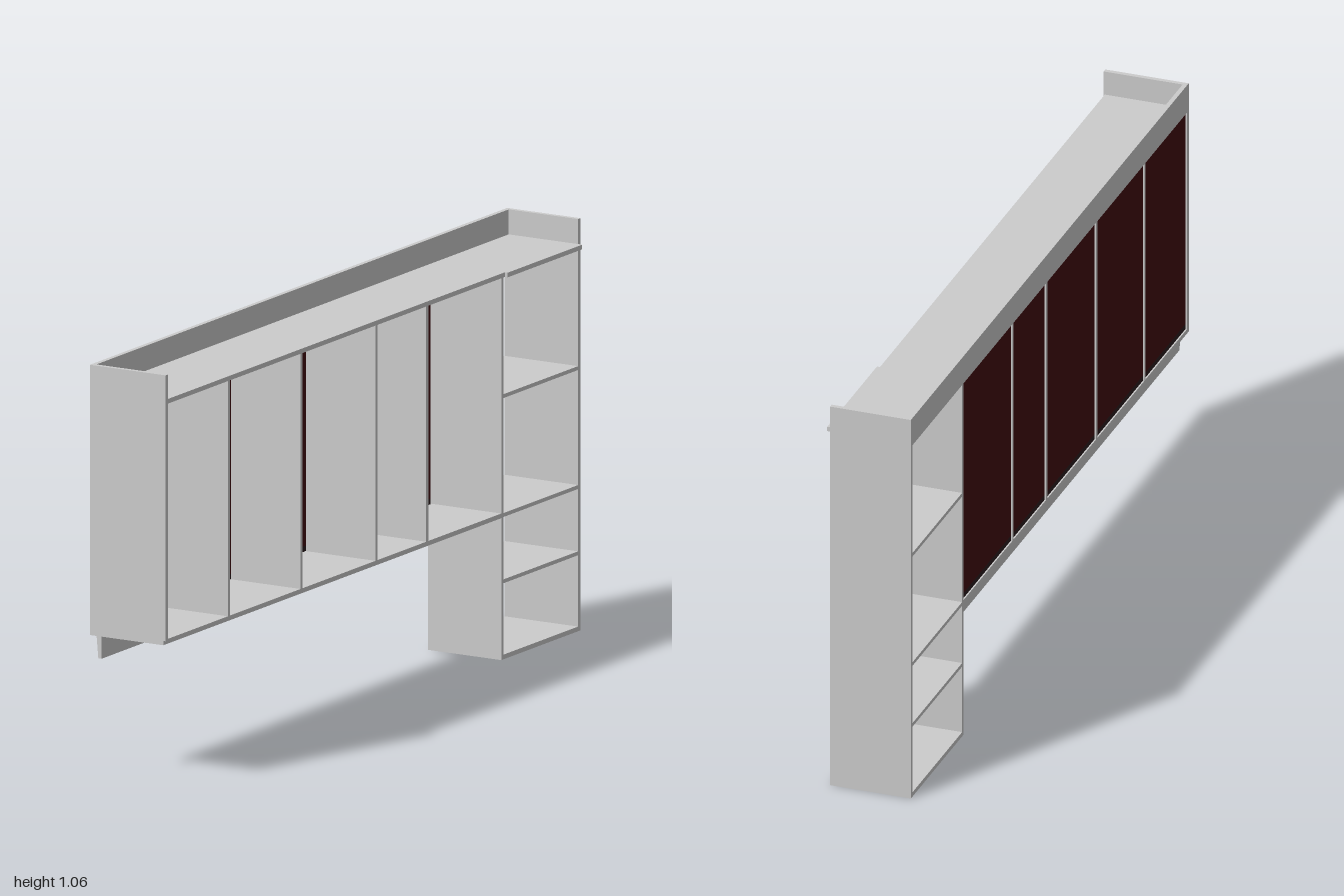
import * as THREE from 'three';

const grey = new THREE.MeshStandardMaterial({ color: 0xcccccc });
const red = new THREE.MeshStandardMaterial({ color: 0x420b0e });
const dark = new THREE.MeshStandardMaterial({ color: 0x2a1c1e });

const BACK = -0.115, FRONT = 0.1, T = 0.012;

export function createModel() {
  const model = new THREE.Group();
  model.name = 'shelfUnit';

  // Board given by its limits on each axis
  const board = (name, [x0, x1], [y0, y1], [z0, z1], material = grey) => {
    const mesh = new THREE.Mesh(new THREE.BoxGeometry(x1 - x0, y1 - y0, z1 - z0), material);
    mesh.position.set((x0 + x1) / 2, (y0 + y1) / 2, (z0 + z1) / 2);
    mesh.name = name;
    model.add(mesh);
  };
  const depth = [BACK, FRONT];

  // End panels, both rising above the top as upstands
  board('nearEndPanel', [BACK, 0.107], [0.375, 1.057], [1 - T, 1]);
  board('farEndPanel', depth, [0, 1.057], [-1, -1 + T]);

  // Fascia along the back, and the top in two lengths
  board('fascia', [BACK, BACK + T], [0.985, 1.057], [-1 + T, 1 - T]);
  board('mainTop', [BACK + T, 0.104], [0.981, 0.993], [-0.63, 1 - T]);
  board('columnTop', [BACK + T, 0.112], [0.981, 0.993], [-1 + T, -0.63]);
  board('topBackRail', [BACK, BACK + T], [0.981, 0.985], [-1 + T, 1 - T]);

  // Bottom board of the long cabinet
  board('bottomBoard', depth, [0.364, 0.376], [-0.62, 1]);

  // Tapered plinth rail under the cabinet
  const rail = new THREE.Shape([
    new THREE.Vector2(-0.095, 0.364), new THREE.Vector2(-0.09, 0.307),
    new THREE.Vector2(-0.081, 0.307), new THREE.Vector2(-0.081, 0.364),
  ]);
  const plinth = new THREE.Mesh(
    new THREE.ExtrudeGeometry(rail, { depth: 1.62, bevelEnabled: false }), grey);
  plinth.position.z = -0.62;
  plinth.name = 'plinthRail';
  model.add(plinth);

  // Upright dividers with coloured back panels between them
  const dividers = [0.685, 0.337, -0.022, -0.265];
  for (const z of dividers) board('divider', depth, [0.376, 0.981], [z - 0.005, z + 0.005]);
  const edges = [0.993, ...dividers, -0.62];
  for (let i = 0; i < edges.length - 1; i++) {
    const span = [edges[i + 1] + 0.005, edges[i] - 0.005];
    board('backPanel', [-0.111, -0.104], [0.39, 0.981], span, red);
    board('backPanelBase', [-0.111, -0.104], [0.376, 0.39], span, dark);
  }

  // Open column: inner side, base and shelves
  board('columnSide', depth, [0, 0.981], [-0.631, -0.62]);
  board('columnBase', depth, [0, T], [-1 + T, -0.631]);
  for (const y of [0.2, 0.37, 0.675])
    board('columnShelf', depth, [y - 0.005, y + 0.005], [-1 + T, -0.631]);

  return model;
}
